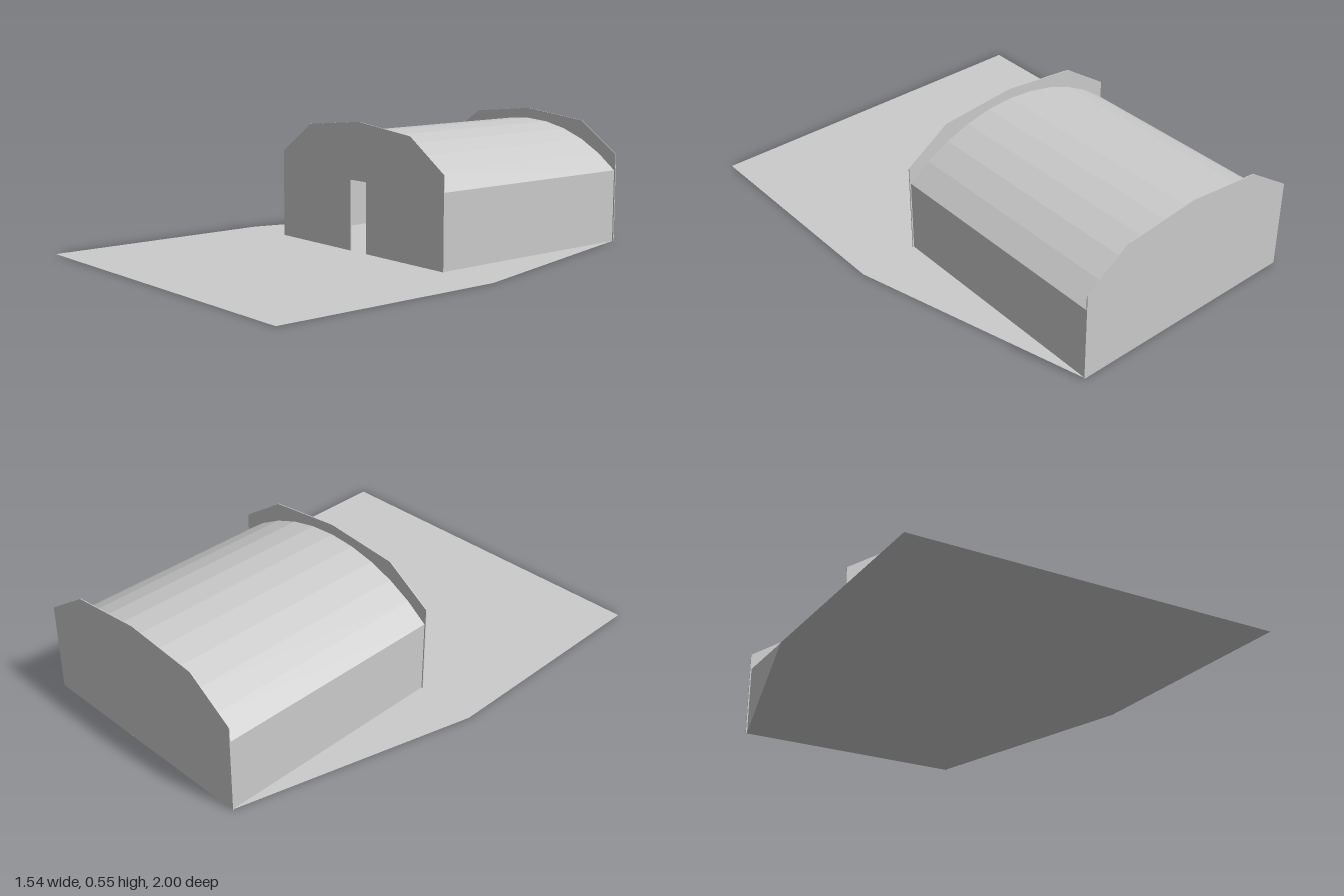
import * as THREE from 'three';

const FRONT = 0.015, BACK = -0.995, HALF = 0.51, EAVE = 0.31, RIDGE = 0.5;

function shapeFrom(points) {
  return new THREE.Shape(points.map(([x, y]) => new THREE.Vector2(x, y)));
}

export function createModel() {
  const model = new THREE.Group();
  const material = new THREE.MeshStandardMaterial({
    color: 0xcccccc, side: THREE.DoubleSide, flatShading: true,
  });

  function add(name, geometry, x = 0, y = 0, z = 0) {
    const mesh = new THREE.Mesh(geometry, material);
    mesh.name = name;
    mesh.position.set(x, y, z);
    model.add(mesh);
    return mesh;
  }

  // Flat forecourt that narrows towards the back of the building
  const ground = new THREE.ShapeGeometry(shapeFrom([
    [-0.77, -1], [0.77, -1], [0.77, 0], [HALF, 1], [-HALF, 1], [-0.77, 0],
  ]));
  ground.rotateX(-Math.PI / 2);
  add('ground', ground);

  // Stepped gable panels standing above the roof; the front one has a doorway
  const gableTop = [[0.515, 0.38], [0.32, 0.512], [0, 0.545], [-0.32, 0.512], [-0.515, 0.38]];
  const doorway = [[-0.515, 0], [-0.05, 0], [-0.05, 0.3], [0.05, 0.3], [0.05, 0], [0.515, 0]];
  const panel = { depth: 0.004, bevelEnabled: false };
  add('frontGable', new THREE.ExtrudeGeometry(shapeFrom([...doorway, ...gableTop]), panel), 0, 0, FRONT - 0.004);
  add('backGable', new THREE.ExtrudeGeometry(
    shapeFrom([[-0.515, 0], [0.515, 0], ...gableTop]), panel), 0, 0, BACK - 0.005);

  // Side walls
  const length = FRONT - BACK;
  const middle = (FRONT + BACK) / 2;
  for (const side of [-1, 1]) {
    const wall = new THREE.PlaneGeometry(length, EAVE);
    wall.rotateY(side * Math.PI / 2);
    add(side > 0 ? 'leftWall' : 'rightWall', wall, side * HALF, EAVE / 2, middle);
  }

  // Shallow barrel roof: a ten-sided arc of an open cylinder
  const rise = RIDGE - EAVE;
  const radius = (HALF * HALF + rise * rise) / (2 * rise);
  const halfAngle = Math.asin(HALF / radius);
  const roof = new THREE.CylinderGeometry(
    radius, radius, length, 10, 1, true, Math.PI - halfAngle, 2 * halfAngle);
  roof.rotateX(Math.PI / 2);
  add('roof', roof, 0, RIDGE - radius, middle);

  return model;
}
